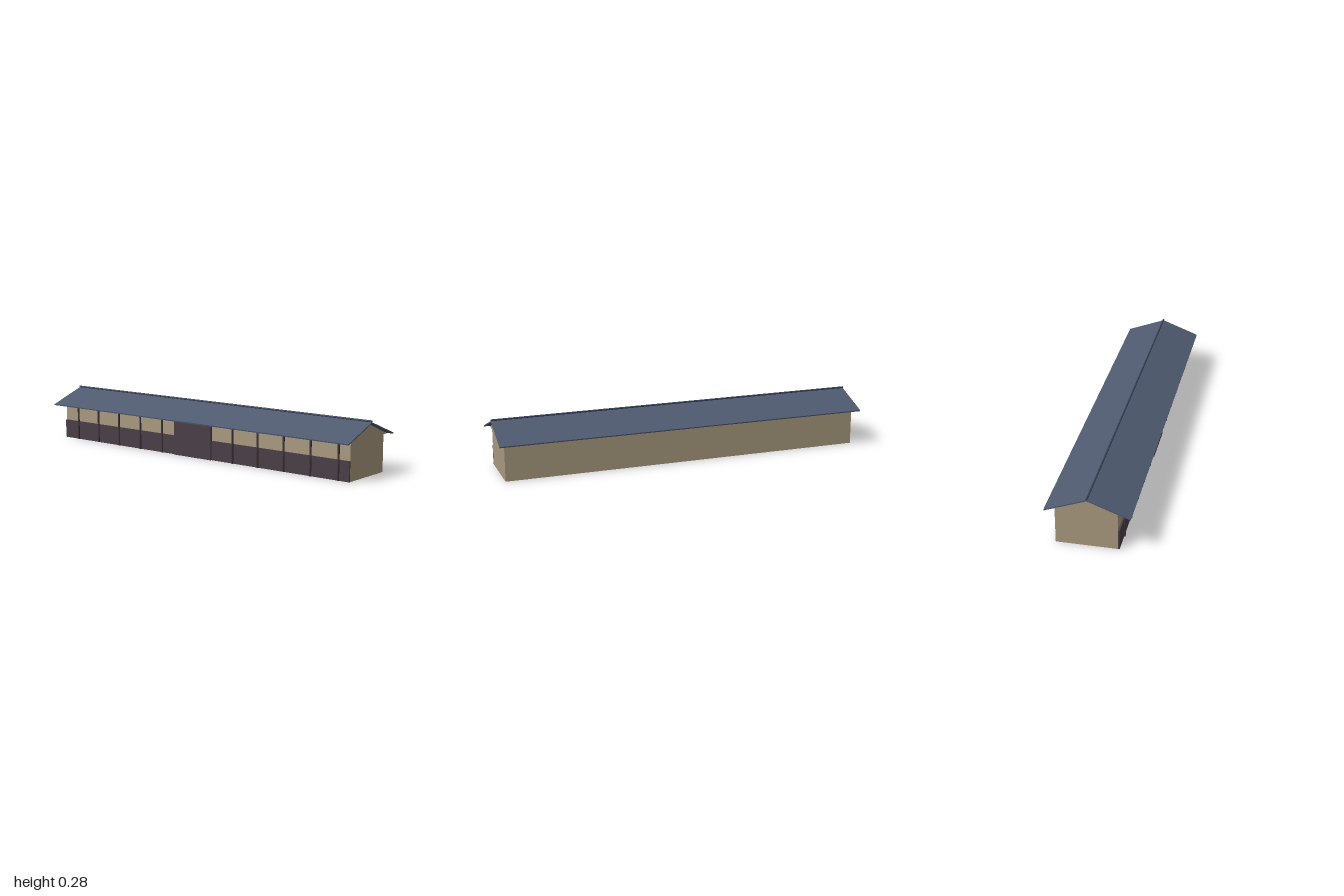
import * as THREE from 'three';

const material = (color) => new THREE.MeshStandardMaterial({ color, flatShading: true });

export function createModel() {
  const model = new THREE.Group();
  const wallMat = material(0xa8997f);
  const roofMat = material(0x4f5a70);
  const ridgeMat = material(0x38415a);
  const timberMat = material(0x4a3f47);
  const postMat = material(0x3a3036);

  const add = (name, geometry, mat, x = 0, y = 0, z = 0) => {
    const mesh = new THREE.Mesh(geometry, mat);
    mesh.name = name;
    mesh.position.set(x, y, z);
    model.add(mesh);
    return mesh;
  };
  // Box given by its extents on each axis
  const block = (name, mat, [x0, x1], [y0, y1], [z0, z1]) =>
    add(name, new THREE.BoxGeometry(x1 - x0, y1 - y0, z1 - z0), mat,
      (x0 + x1) / 2, (y0 + y1) / 2, (z0 + z1) / 2);
  // Profile of [z, y] points, extruded along x
  const alongX = (points, length) => {
    const shape = new THREE.Shape(points.map(([z, y]) => new THREE.Vector2(-z, y)));
    return new THREE.ExtrudeGeometry(shape, { depth: length, bevelEnabled: false })
      .translate(0, 0, -length / 2).rotateY(Math.PI / 2);
  };

  // Long hall
  block('walls', wallMat, [-0.97, 0.97], [0, 0.191], [-0.162, 0.139]);

  // Front cladding, entrance door and posts
  block('lowerCladding', timberMat, [-0.97, 0.97], [0, 0.102], [0.138, 0.147]);
  block('door', timberMat, [-0.128, 0.124], [0, 0.178], [0.14, 0.155]);
  for (let i = 0; i < 12; i++) {
    const x = -0.861 + i * 0.161;
    block('post', postMat, [x - 0.004, x + 0.004], [0, 0.191], [0.146, 0.153]);
  }

  // Gable panels at both ends, wider than the walls
  for (const side of [-1, 1]) {
    add('gable', alongX([[0.193, 0.191], [0, 0.27], [-0.193, 0.191]], 0.01), wallMat, side * 0.966);
  }

  // Pitched roof slabs
  for (const side of [-1, 1]) {
    const profile = [[0, 0.275], [0.207, 0.197], [0.206, 0.191], [0, 0.269]];
    add('roofSlope', alongX(profile.map(([z, y]) => [z * side, y]), 2), roofMat);
  }

  // Ridge cap
  add('ridgeCap', new THREE.CylinderGeometry(0.005, 0.005, 2, 8).rotateZ(Math.PI / 2), ridgeMat, 0, 0.279, 0);

  return model;
}
